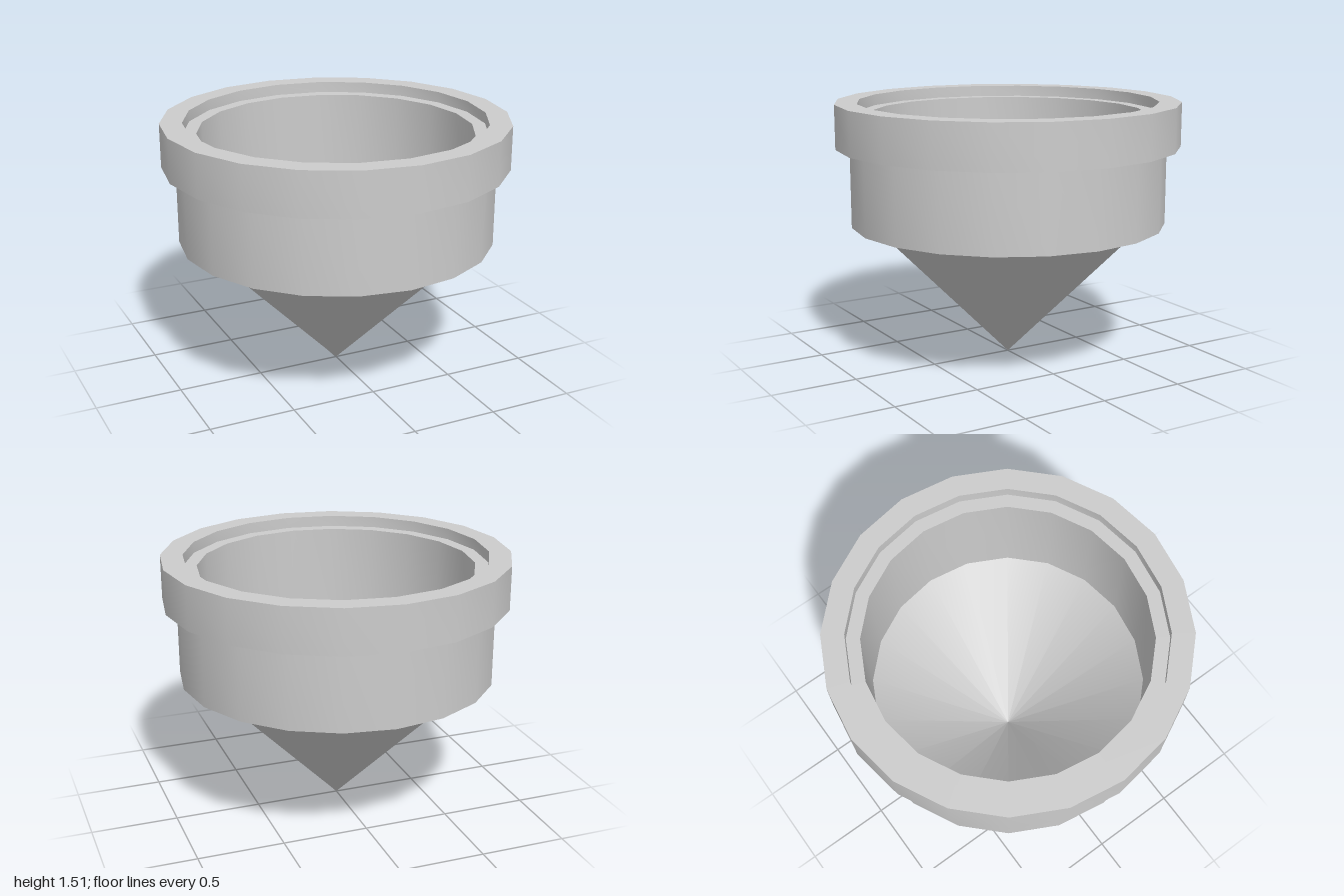
import * as THREE from 'three';
import { toCreasedNormals } from 'three/addons/utils/BufferGeometryUtils.js';

const SIDES = 20;
const BORE = 0.795;
const BASE_Y = 0.805;
const TOP_Y = 1.515;

export function createModel() {
  const model = new THREE.Group();
  model.name = 'funnel';
  const material = new THREE.MeshStandardMaterial({ color: 0xcccccc });

  // Stepped ring: lower wall, wider collar, recessed ledge and straight bore
  const profile = [
    [BORE, BASE_Y], [0.92, BASE_Y],
    [0.92, 1.26], [1, 1.26],
    [1, TOP_Y], [0.872, TOP_Y],
    [0.872, 1.45], [BORE, 1.45],
    [BORE, BASE_Y],
  ].map(([r, y]) => new THREE.Vector2(r, y));
  const ring = new THREE.Mesh(
    toCreasedNormals(new THREE.LatheGeometry(profile, SIDES), Math.PI / 6),
    material,
  );
  ring.name = 'collarRing';
  model.add(ring);

  // Open thin cone pointing down, seen from inside and outside
  const coneGeometry = new THREE.ConeGeometry(BORE, BASE_Y, SIDES, 1, true);
  coneGeometry.rotateX(Math.PI);
  coneGeometry.translate(0, BASE_Y / 2, 0);
  const coneMaterial = material.clone();
  coneMaterial.side = THREE.DoubleSide;
  const cone = new THREE.Mesh(coneGeometry, coneMaterial);
  cone.name = 'funnelCone';
  model.add(cone);

  return model;
}
